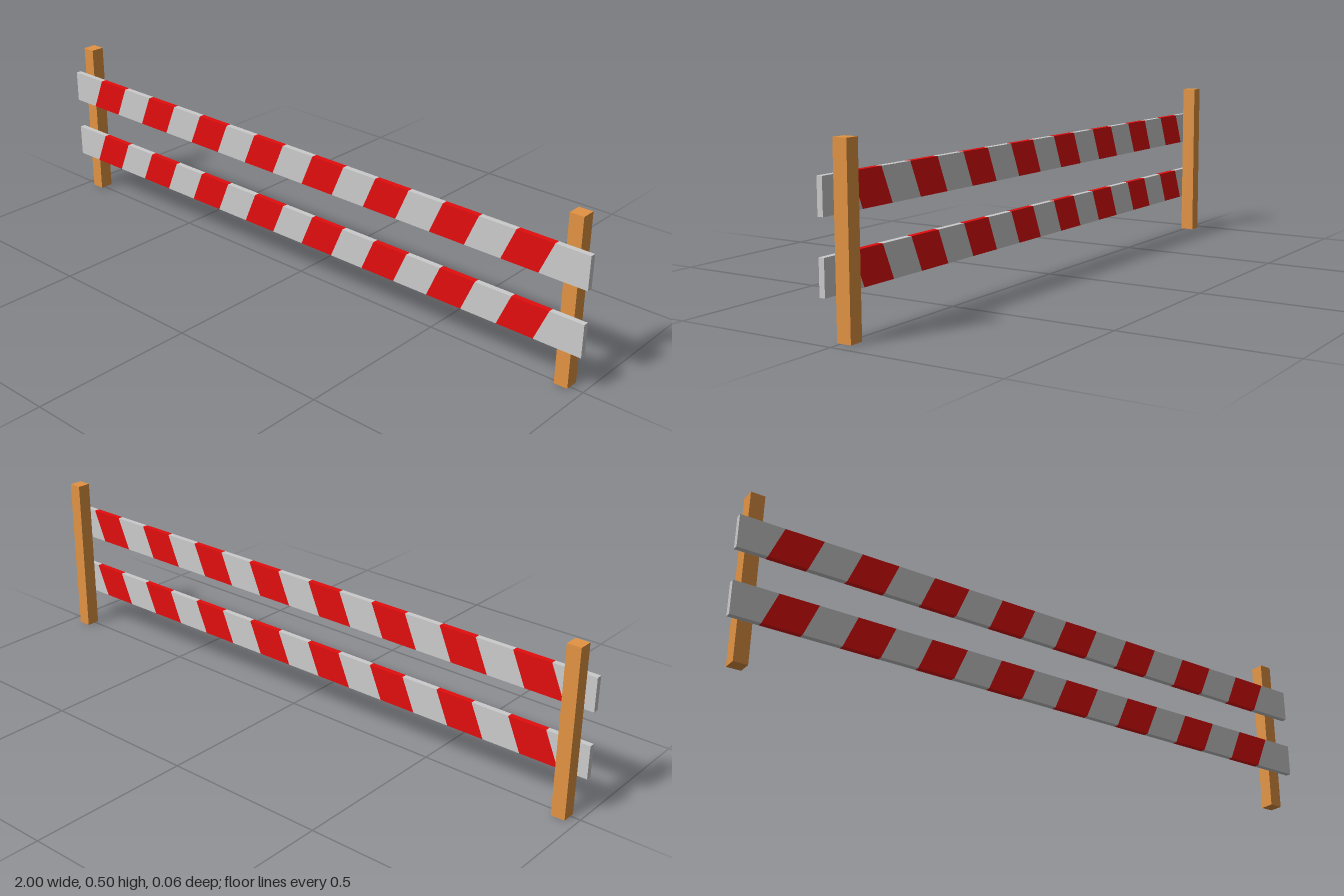
import * as THREE from 'three';

const HEIGHT = 0.503;
const BOARD_HEIGHT = 0.099, BOARD_DEPTH = 0.017, BOARD_BACK = 0.013;
const STRIPES = 8, STRIPE_WIDTH = 0.1176, FIRST_STRIPE = -0.911, SLANT = 0.0425;

export function createModel() {
  const model = new THREE.Group();
  const wood = new THREE.MeshStandardMaterial({ color: 0xe39443 });
  const red = new THREE.MeshStandardMaterial({ color: 0xe30d0d });
  const grey = new THREE.MeshStandardMaterial({ color: 0xcccccc });

  // Square wooden posts behind the boards
  for (const [name, x] of [['rightPost', -0.949], ['leftPost', 0.939]]) {
    const post = new THREE.Mesh(new THREE.BoxGeometry(0.042, HEIGHT, 0.043), wood);
    post.name = name;
    post.position.set(x, HEIGHT / 2, -0.0085);
    model.add(post);
  }

  // One slanted block of a board, given its bottom and top x ranges
  function block(name, b0, b1, t0, t1, material) {
    const shape = new THREE.Shape([
      new THREE.Vector2(b0, 0), new THREE.Vector2(b1, 0),
      new THREE.Vector2(t1, BOARD_HEIGHT), new THREE.Vector2(t0, BOARD_HEIGHT),
    ]);
    const geometry = new THREE.ExtrudeGeometry(shape, { depth: BOARD_DEPTH, bevelEnabled: false });
    const mesh = new THREE.Mesh(geometry, material);
    mesh.name = name;
    return mesh;
  }

  // Boards of alternating grey and red blocks, with square outer ends
  for (const [name, y] of [['lowerBoard', 0.118], ['upperBoard', 0.315]]) {
    const board = new THREE.Group();
    board.name = name;
    board.position.set(0, y, BOARD_BACK);
    const count = STRIPES * 2 + 1;
    for (let i = 0; i < count; i++) {
      const start = FIRST_STRIPE + (i - 1) * STRIPE_WIDTH;
      const end = start + STRIPE_WIDTH;
      const first = i === 0, last = i === count - 1;
      board.add(block(
        i % 2 ? 'redStripe' : 'greyStripe',
        first ? -1 : start, last ? 1 : end,
        first ? -1 : start + SLANT, last ? 1 : end + SLANT,
        i % 2 ? red : grey,
      ));
    }
    model.add(board);
  }
  return model;
}
